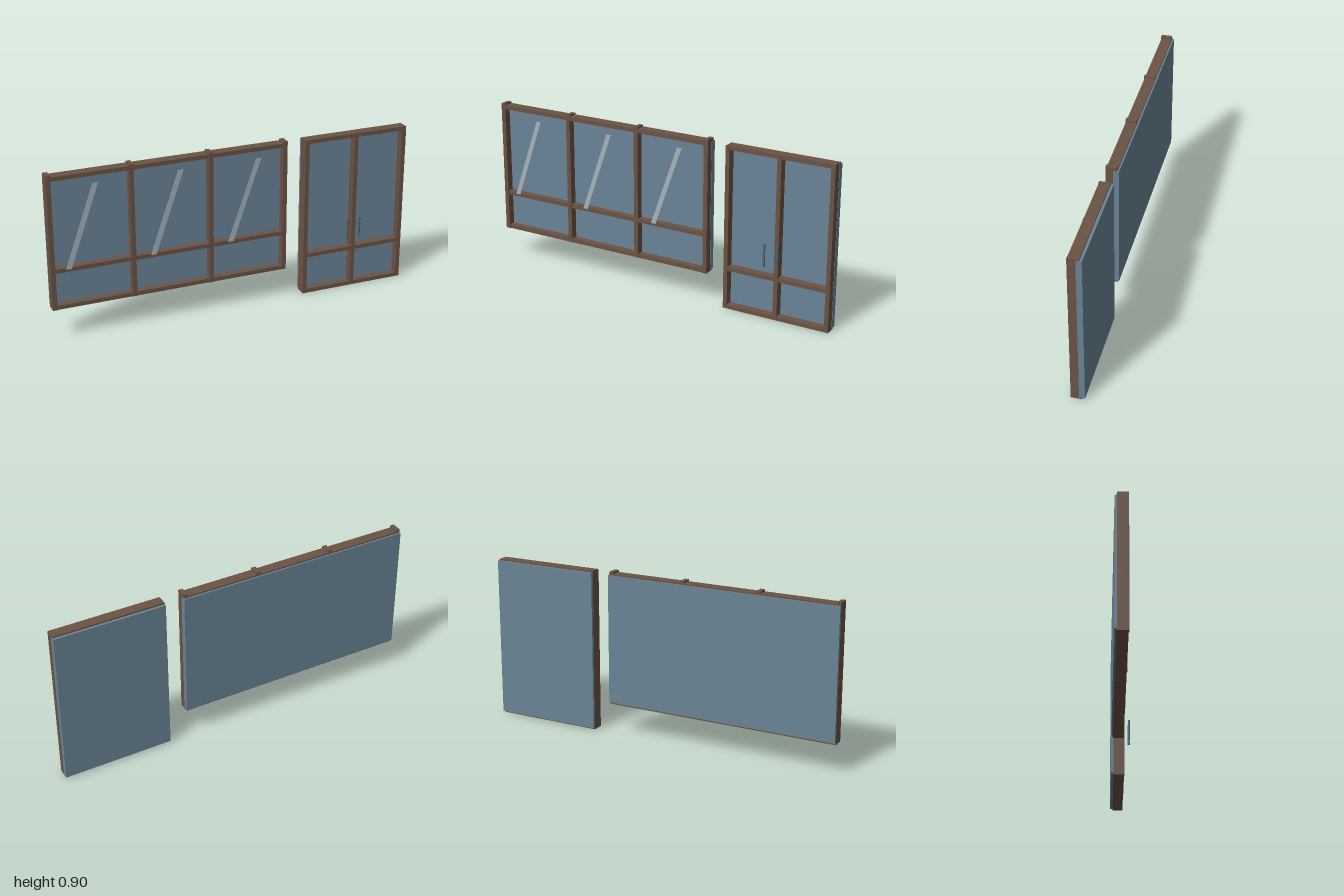
import * as THREE from 'three';

const frameMat = new THREE.MeshStandardMaterial({ color: 0x6b5344 });
frameMat.name = 'brown frame';
const glassMat = new THREE.MeshStandardMaterial({ color: 0x6a8496 });
glassMat.name = 'blue glass';
const shineMat = new THREE.MeshStandardMaterial({ color: 0xa4b3bb });
shineMat.name = 'pale glint';
const handleMat = new THREE.MeshStandardMaterial({ color: 0x4f6a7c });
handleMat.name = 'handle blue';

// Box given by its low and high limits on each axis
function box(parent, name, mat, [x0, x1], [y0, y1], [z0, z1]) {
  const mesh = new THREE.Mesh(new THREE.BoxGeometry(x1 - x0, y1 - y0, z1 - z0), mat);
  mesh.position.set((x0 + x1) / 2, (y0 + y1) / 2, (z0 + z1) / 2);
  mesh.name = name;
  parent.add(mesh);
}

function createWindow() {
  const g = new THREE.Group();
  g.name = 'window';
  box(g, 'windowGlass', glassMat, [-0.999, 0.299], [0.178, 0.88], [-0.054, -0.024]);
  // Posts rise slightly above the top rail
  for (const x of [-1, -0.572, -0.145, 0.273]) {
    box(g, 'windowPost', frameMat, [x, x + 0.024], [0.168, 0.898], [-0.042, 0.015]);
  }
  for (const y of [0.168, 0.37, 0.866]) {
    box(g, 'windowRail', frameMat, [-0.998, 0.296], [y, y + 0.022], [-0.045, 0.012]);
  }
  // Slanted glints, one per upper pane
  for (const x of [-0.906, -0.454, -0.024]) {
    const s = new THREE.Shape();
    s.moveTo(x - 0.014, 0.386);
    s.lineTo(x + 0.014, 0.386);
    s.lineTo(x + 0.17, 0.829);
    s.lineTo(x + 0.142, 0.829);
    const geo = new THREE.ExtrudeGeometry(s, { depth: 0.003, bevelEnabled: false });
    const glint = new THREE.Mesh(geo, shineMat);
    glint.position.z = 0.015;
    glint.name = 'glint';
    g.add(glint);
  }
  return g;
}

function createDoor() {
  const g = new THREE.Group();
  g.name = 'doubleDoor';
  box(g, 'doorGlass', glassMat, [0.401, 1], [0.01, 0.88], [-0.054, -0.024]);
  for (const x of [0.4, 0.688, 0.975]) {
    box(g, 'doorPost', frameMat, [x, x + 0.023], [0.002, 0.887], [-0.04, 0.019]);
  }
  for (const y of [0, 0.213, 0.866]) {
    box(g, 'doorRail', frameMat, [0.402, 0.997], [y, y + 0.022], [-0.04, 0.017]);
  }
  // Upright handles in front of the two leaves
  for (const x of [0.645, 0.717]) {
    const handle = new THREE.Mesh(new THREE.CylinderGeometry(0.006, 0.006, 0.12, 12), handleMat);
    handle.position.set(x, 0.358, 0.049);
    handle.name = 'doorHandle';
    g.add(handle);
  }
  return g;
}

export function createModel() {
  const model = new THREE.Group();
  model.name = 'storefront';
  model.add(createWindow(), createDoor());
  return model;
}
